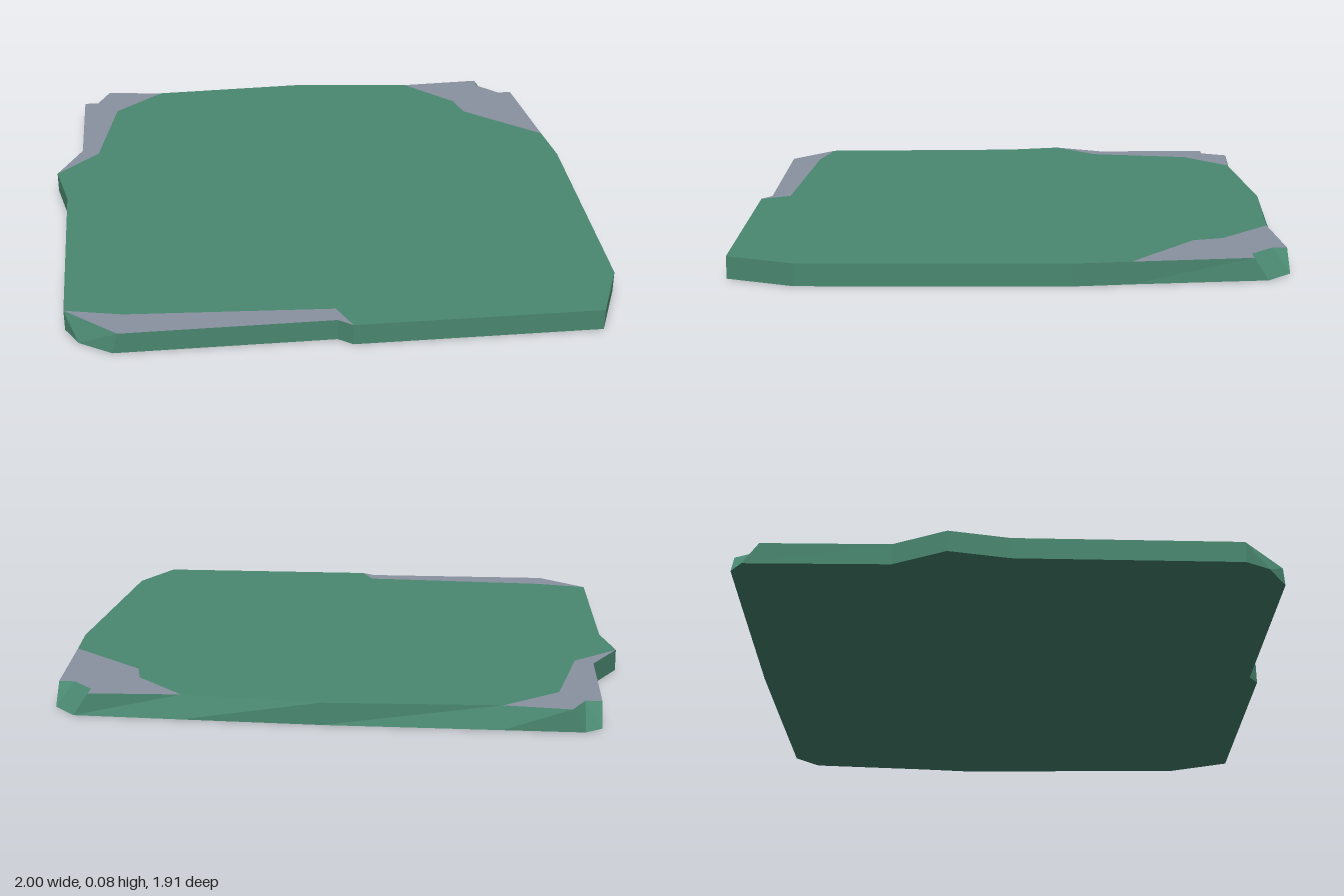
import * as THREE from 'three';

const H = 0.077;

// Rim going round the slab: [bottom x, bottom z, top x, top z]
const RIM = [
  // chipped back right corner
  [-0.865, -0.945, -0.82, -0.945], [-0.865, -0.945, -0.865, -0.845],
  [-0.92, -0.9, -0.865, -0.845], [-0.92, -0.9, -0.92, -0.845],
  // right side
  [-0.91, -0.4, -0.91, -0.4], [-1, -0.21, -1, -0.21], [-0.95, 0, -0.95, 0],
  // undercut front right corner
  [-0.92, 0.785, -0.92, 0.785], [-0.87, 0.87, -0.92, 0.785], [-0.755, 0.94, -0.735, 0.94],
  // front and left side
  [0, 0.92, 0, 0.92], [0.05, 0.955, 0.05, 0.955], [0.91, 0.935, 0.91, 0.935],
  [1, 0.7, 1, 0.7], [1, -0.21, 1, -0.21], [0.975, -0.4, 0.975, -0.4],
  // chipped back left corner
  [0.925, -0.86, 0.925, -0.81], [0.925, -0.86, 0.87, -0.81],
  [0.84, -0.945, 0.79, -0.89], [0.84, -0.945, 0.79, -0.94],
  // bevelled back edge
  [0.475, -0.952, 0.475, -0.92], [0, -0.96, 0, -0.96], [-0.595, -0.95, -0.595, -0.925],
];

// Inner borders of the bare stone patches
const BACK_RIGHT = [[-0.595, -0.925], [-0.78, -0.76], [-0.845, -0.37], [-1, -0.21]];
const FRONT = [[-0.92, 0.785], [-0.72, 0.825], [0, 0.85], [0.05, 0.955]];
const BACK_LEFT = [[0.975, -0.4], [0.69, -0.635], [0.66, -0.74], [0.475, -0.92]];

// Flat horizontal face from [x, z] points, facing up or down
function flatFace(points, y, up = true) {
  const s = up ? -1 : 1;
  const shape = new THREE.Shape(points.map(([x, z]) => new THREE.Vector2(x, s * z)));
  return new THREE.ShapeGeometry(shape).rotateX(s * Math.PI / 2).translate(0, y, 0);
}

// Wall of quads joining the bottom rim to the top rim
function rimWall() {
  const pos = [];
  RIM.forEach((a, i) => {
    const b = RIM[(i + 1) % RIM.length];
    const b0 = [a[0], 0, a[1]], b1 = [b[0], 0, b[1]];
    const t0 = [a[2], H, a[3]], t1 = [b[2], H, b[3]];
    pos.push(...b0, ...b1, ...t1, ...b0, ...t1, ...t0);
  });
  const g = new THREE.BufferGeometry();
  g.setAttribute('position', new THREE.Float32BufferAttribute(pos, 3));
  g.computeVertexNormals();
  return g;
}

export function createModel() {
  const group = new THREE.Group();
  group.name = 'groundSlab';
  const green = new THREE.MeshStandardMaterial({ color: 0x4a8871 });
  green.name = 'mossGreen';
  const grey = new THREE.MeshStandardMaterial({ color: 0x8a92a0 });
  grey.name = 'stoneGrey';
  const add = (name, geometry, material) => {
    const mesh = new THREE.Mesh(geometry, material);
    mesh.name = name;
    group.add(mesh);
  };

  add('sideWall', rimWall(), green);

  // Underside, with repeated rim points dropped
  const base = RIM.filter((p, i) => !i || p[0] !== RIM[i - 1][0] || p[1] !== RIM[i - 1][1]);
  add('underside', flatFace(base, 0, false), green);

  // Mossy top between the stone patches
  add('mossTop', flatFace([
    ...BACK_RIGHT, [-0.95, 0], ...FRONT,
    [0.91, 0.935], [1, 0.7], [1, -0.21], ...BACK_LEFT, [0, -0.96],
  ], H), green);

  // Bare stone patches: inner border, then the outer rim
  add('backRightStone', flatFace([
    ...BACK_RIGHT, [-0.91, -0.4], [-0.92, -0.845], [-0.865, -0.845], [-0.82, -0.945],
  ], H), grey);
  add('frontStone', flatFace([...FRONT, [0, 0.92], [-0.735, 0.94]], H), grey);
  add('backLeftStone', flatFace([
    ...BACK_LEFT, [0.79, -0.94], [0.79, -0.89], [0.87, -0.81], [0.925, -0.81],
  ], H), grey);

  return group;
}
